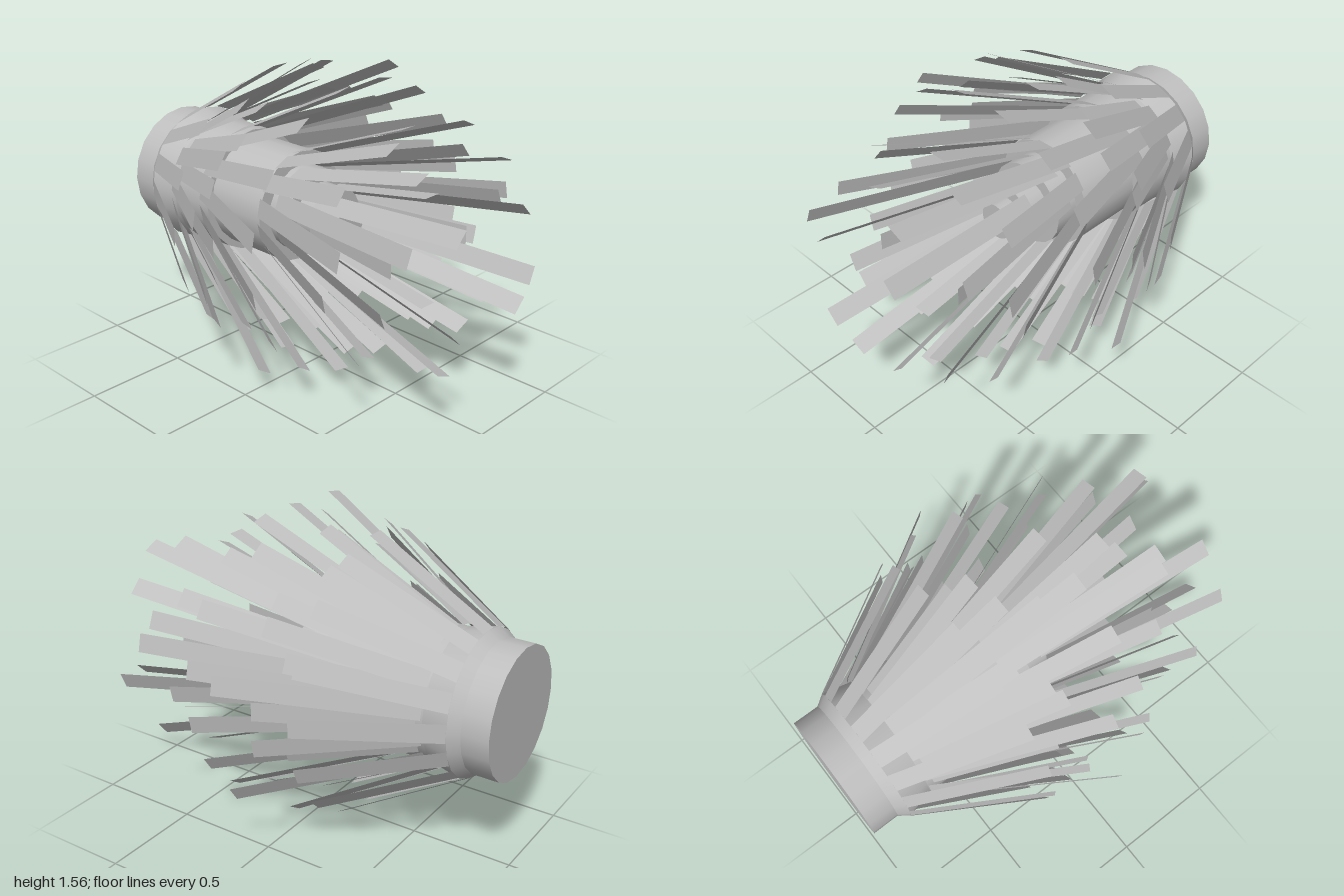
import * as THREE from 'three';

const CENTRE_Y = 0.785;
const WIDTH = 0.09;

export function createModel() {
  const model = new THREE.Group();
  const grey = new THREE.MeshStandardMaterial({ color: 0xbfbfbf });
  grey.name = 'grey';
  grey.side = THREE.DoubleSide;

  // core profile as [radius, z]: socket, collar, then steps narrowing to the nose
  const profile = [
    [0, -1], [0.31, -1], [0.31, -0.87], [0.345, -0.82], [0.315, -0.69],
    [0.31, -0.45], [0.275, -0.45], [0.275, -0.12], [0.21, -0.12], [0.21, 0],
    [0.15, 0], [0.15, 0.12], [0.09, 0.12], [0.09, 0.2], [0, 0.2],
  ];
  const core = new THREE.Group();
  core.name = 'core';
  for (let i = 1; i < profile.length; i++) {
    const points = [profile[i - 1], profile[i]].map(([r, z]) => new THREE.Vector2(r, z));
    const mesh = new THREE.Mesh(new THREE.LatheGeometry(points, 20), grey);
    mesh.name = 'coreSection';
    mesh.rotation.x = Math.PI / 2;
    core.add(mesh);
  }
  model.add(core);

  // a flat blade from its root to its tip, each given as [radius, z]
  function bladeGeometry([r0, z0], [r1, z1]) {
    const geometry = new THREE.PlaneGeometry(WIDTH, 1);
    const p = geometry.attributes.position;
    for (let i = 0; i < p.count; i++) {
      const atTip = p.getY(i) > 0;
      p.setXYZ(i, atTip ? r1 : r0, p.getX(i), atTip ? z1 : z0);
    }
    geometry.computeVertexNormals();
    return geometry;
  }

  // blades evenly spaced round the core, their tips taken in turn from the list
  function addRing(name, count, startDegrees, root, ...tips) {
    const ring = new THREE.Group();
    ring.name = name;
    const geometries = tips.map((tip) => bladeGeometry(root, tip));
    for (let i = 0; i < count; i++) {
      const blade = new THREE.Mesh(geometries[i % tips.length], grey);
      blade.name = 'blade';
      blade.rotation.z = THREE.MathUtils.degToRad(startDegrees + (i * 360) / count);
      ring.add(blade);
    }
    model.add(ring);
  }

  addRing('collarShortBlades', 16, 0, [0.343, -0.82], [0.672, -0.25]);
  addRing('collarLongBlades', 16, 11.25, [0.33, -0.69], [0.787, 0.07], [0.71, -0.08]);
  addRing('rearBlades', 16, 0, [0.32, -0.66], [0.635, -0.03], [0.58, -0.14]);
  addRing('middleBlades', 16, 11.25, [0.305, -0.51], [0.695, 0.28]);
  addRing('forwardBlades', 14, 180 / 14, [0.275, -0.13], [0.587, 0.66], [0.535, 0.53]);
  addRing('innerBlades', 8, 22.5, [0.21, -0.085], [0.43, 0.745], [0.48, 0.915]);
  addRing('noseBlades', 8, 0, [0.155, 0.09], [0.26, 0.67], [0.32, 1.0]);

  model.position.y = CENTRE_Y;
  const root = new THREE.Group();
  root.name = 'bladedCone';
  root.add(model);
  return root;
}
